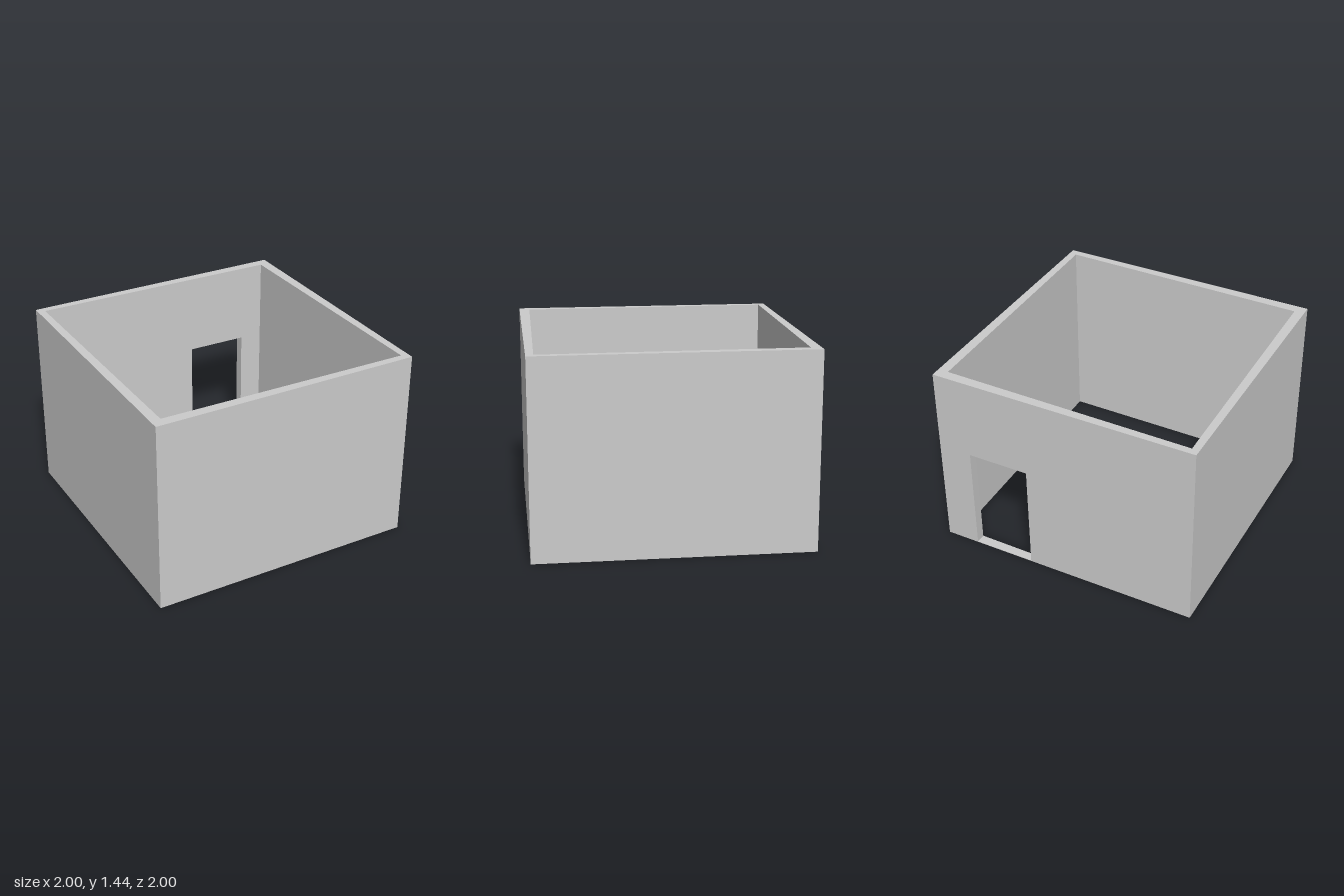
import * as THREE from 'three';
import { mergeGeometries } from 'three/addons/utils/BufferGeometryUtils.js';

const H = 1.44;
const door = { x0: 0.285, x1: 0.748, y0: 0.004, y1: 0.825 };

// Plan corners [x, z], counter-clockwise from above, starting front-right of -x
const outer = [[-1, 1], [1, 1], [1, -1], [-1, -1]];
const inner = [[-0.926, 0.922], [0.945, 0.946], [0.923, -0.925], [-0.946, -0.948]];

const material = new THREE.MeshStandardMaterial({ color: 0xcccccc, flatShading: true });
const points = list => list.map(([x, y]) => new THREE.Vector2(x, y));

// Upright panel from plan point a to b, facing to the right of the walk, optionally with the door cut out
function panel(a, b, withDoor) {
  const shape = new THREE.Shape(points([[0, 0], [1, 0], [1, H], [0, H]]));
  if (withDoor) {
    const u0 = (door.x0 - a[0]) / (b[0] - a[0]);
    const u1 = (door.x1 - a[0]) / (b[0] - a[0]);
    shape.holes.push(new THREE.Path(points([[u0, door.y0], [u1, door.y0], [u1, door.y1], [u0, door.y1]])));
  }
  const geo = new THREE.ShapeGeometry(shape);
  const pos = geo.attributes.position;
  for (let i = 0; i < pos.count; i++) {
    const u = pos.getX(i);
    pos.setXYZ(i, a[0] + (b[0] - a[0]) * u, pos.getY(i), a[1] + (b[1] - a[1]) * u);
  }
  geo.computeVertexNormals();
  return geo;
}

// Flat ring between the two outlines, facing up or down
function rim(y, up) {
  const s = up ? -1 : 1;
  const flat = list => points(list.map(([x, z]) => [x, s * z]));
  const shape = new THREE.Shape(flat(outer));
  shape.holes.push(new THREE.Path(flat(inner)));
  return new THREE.ShapeGeometry(shape).rotateX(s * Math.PI / 2).translate(0, y, 0);
}

// Sill, jambs and head joining the outer and inner faces of the back wall
function doorReveal() {
  const { x0, x1, y0, y1 } = door;
  const [r, l] = [inner[2], inner[3]];
  const innerZ = x => l[1] + (r[1] - l[1]) * (x - l[0]) / (r[0] - l[0]);
  const loop = [[x0, y0], [x1, y0], [x1, y1], [x0, y1]];
  const verts = [], index = [];
  loop.forEach((p, i) => {
    const q = loop[(i + 1) % 4], k = i * 4;
    verts.push(p[0], p[1], -1, p[0], p[1], innerZ(p[0]), q[0], q[1], innerZ(q[0]), q[0], q[1], -1);
    index.push(k, k + 1, k + 2, k, k + 2, k + 3);
  });
  const geo = new THREE.BufferGeometry();
  geo.setAttribute('position', new THREE.Float32BufferAttribute(verts, 3));
  geo.setIndex(index);
  geo.computeVertexNormals();
  return geo;
}

export function createModel() {
  const group = new THREE.Group();
  group.name = 'room';
  const add = (name, geo) => {
    const mesh = new THREE.Mesh(geo, material);
    mesh.name = name;
    group.add(mesh);
  };

  // Four walls, each an outer and an inner face; the back one has the doorway
  ['frontWall', 'leftWall', 'backWall', 'rightWall'].forEach((name, i) => {
    const j = (i + 1) % 4, hasDoor = name === 'backWall';
    add(name, mergeGeometries([panel(outer[i], outer[j], hasDoor), panel(inner[j], inner[i], hasDoor)]));
  });

  add('doorReveal', doorReveal());
  add('topRim', rim(H, true));
  add('bottomRim', rim(0, false));
  return group;
}
